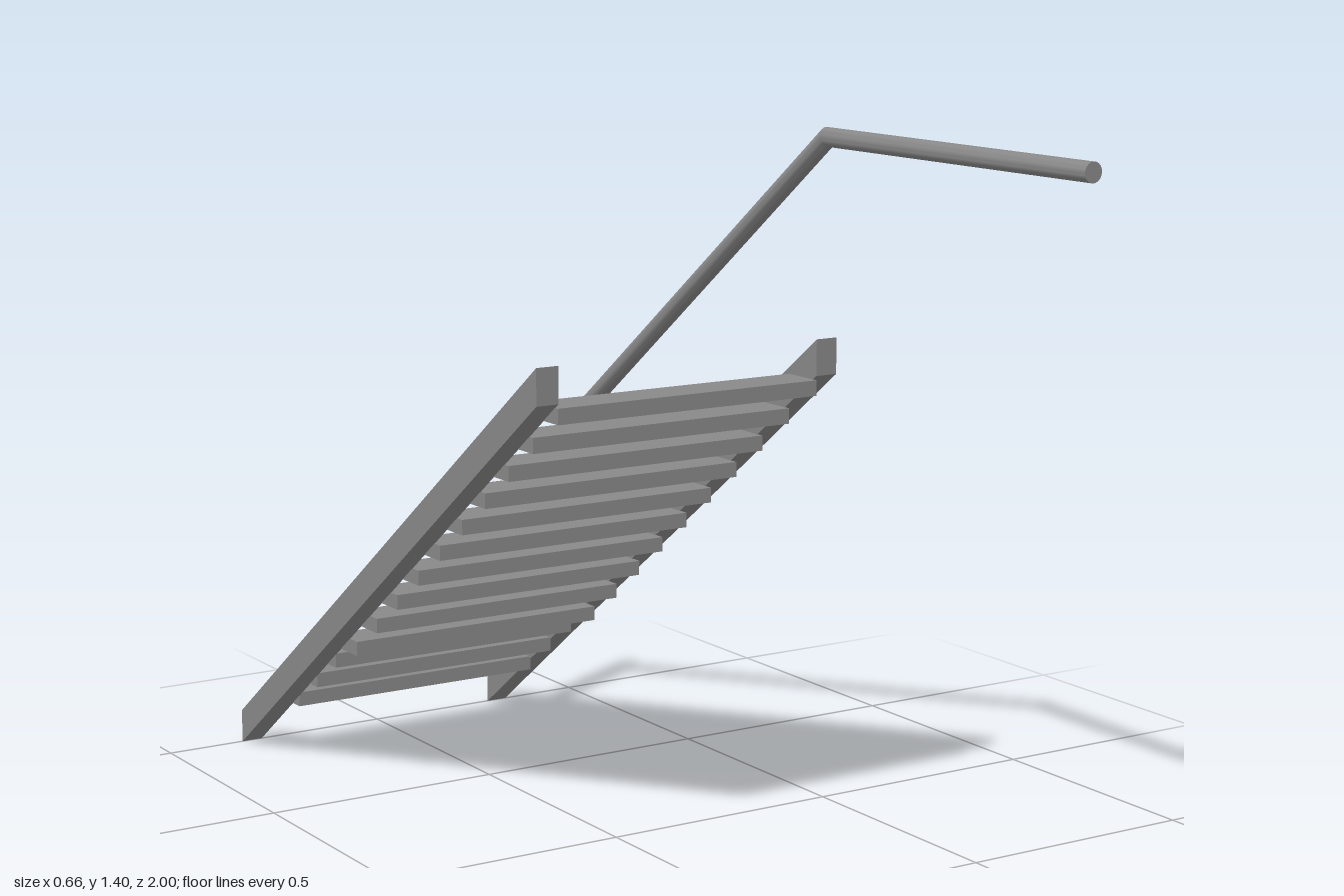
import * as THREE from 'three';
import { toCreasedNormals } from 'three/addons/utils/BufferGeometryUtils.js';

const material = new THREE.MeshStandardMaterial({ color: 0x888888 });

function addMesh(group, name, geometry, x = 0, y = 0, z = 0) {
  const mesh = new THREE.Mesh(geometry, material);
  mesh.name = name;
  mesh.position.set(x, y, z);
  group.add(mesh);
}

// Sloping side beam with plumb-cut ends, centred on x = 0
function stringerGeometry(width) {
  const shape = new THREE.Shape([
    new THREE.Vector2(-1, 0),
    new THREE.Vector2(0.257, 0.93),
    new THREE.Vector2(0.257, 1),
    new THREE.Vector2(-1, 0.07),
  ]);
  const geometry = new THREE.ExtrudeGeometry(shape, { depth: width, bevelEnabled: false });
  geometry.translate(0, 0, -width / 2);
  geometry.rotateY(-Math.PI / 2); // shape x becomes world z
  return geometry;
}

// Round rail with a mitred elbow: three rings, at the post, the bend and the free end
function handrailGeometry(radius) {
  const slope = Math.atan2(1.378 - 0.55, 0.25 + 0.862);
  const rings = [
    { z: -0.862, y: 0.55, tilt: 0, stretch: 1 / Math.cos(slope) },
    { z: 0.25, y: 1.378, tilt: slope / 2, stretch: 1 / Math.cos(slope / 2) },
    { z: 1, y: 1.378, tilt: 0, stretch: 1 },
  ];
  const geometry = new THREE.CylinderGeometry(radius, radius, 2, 20, 2);
  const p = geometry.attributes.position;
  for (let i = 0; i < p.count; i++) {
    const ring = rings[Math.round(p.getY(i)) + 1];
    const up = -p.getZ(i) * ring.stretch;
    p.setXYZ(i, p.getX(i), ring.y + up * Math.cos(ring.tilt), ring.z - up * Math.sin(ring.tilt));
  }
  return toCreasedNormals(geometry, 0.5);
}

export function createModel() {
  const model = new THREE.Group();
  model.name = 'staircase';

  // Side beams
  const stringer = stringerGeometry(0.046);
  addMesh(model, 'leftStringer', stringer, 0.307);
  addMesh(model, 'rightStringer', stringer, -0.307);

  // Treads: ten evenly spaced from the top, then three set slightly lower on the slope
  const treads = new THREE.Group();
  treads.name = 'treads';
  model.add(treads);
  const tread = new THREE.BoxGeometry(0.57, 0.03, 0.088);
  for (let i = 0; i < 10; i++) {
    addMesh(treads, 'tread', tread, 0, 0.907 - i * 0.0672, 0.213 - i * 0.0885);
  }
  for (let i = 0; i < 3; i++) {
    addMesh(treads, 'lowerTread', tread, 0, 0.256 - i * 0.062, -0.68 - i * 0.087);
  }

  // Newel post and handrail
  addMesh(model, 'post', new THREE.BoxGeometry(0.038, 0.44, 0.036), 0.306, 0.36, -0.878);
  addMesh(model, 'handrail', handrailGeometry(0.0185), 0.309);

  return model;
}
